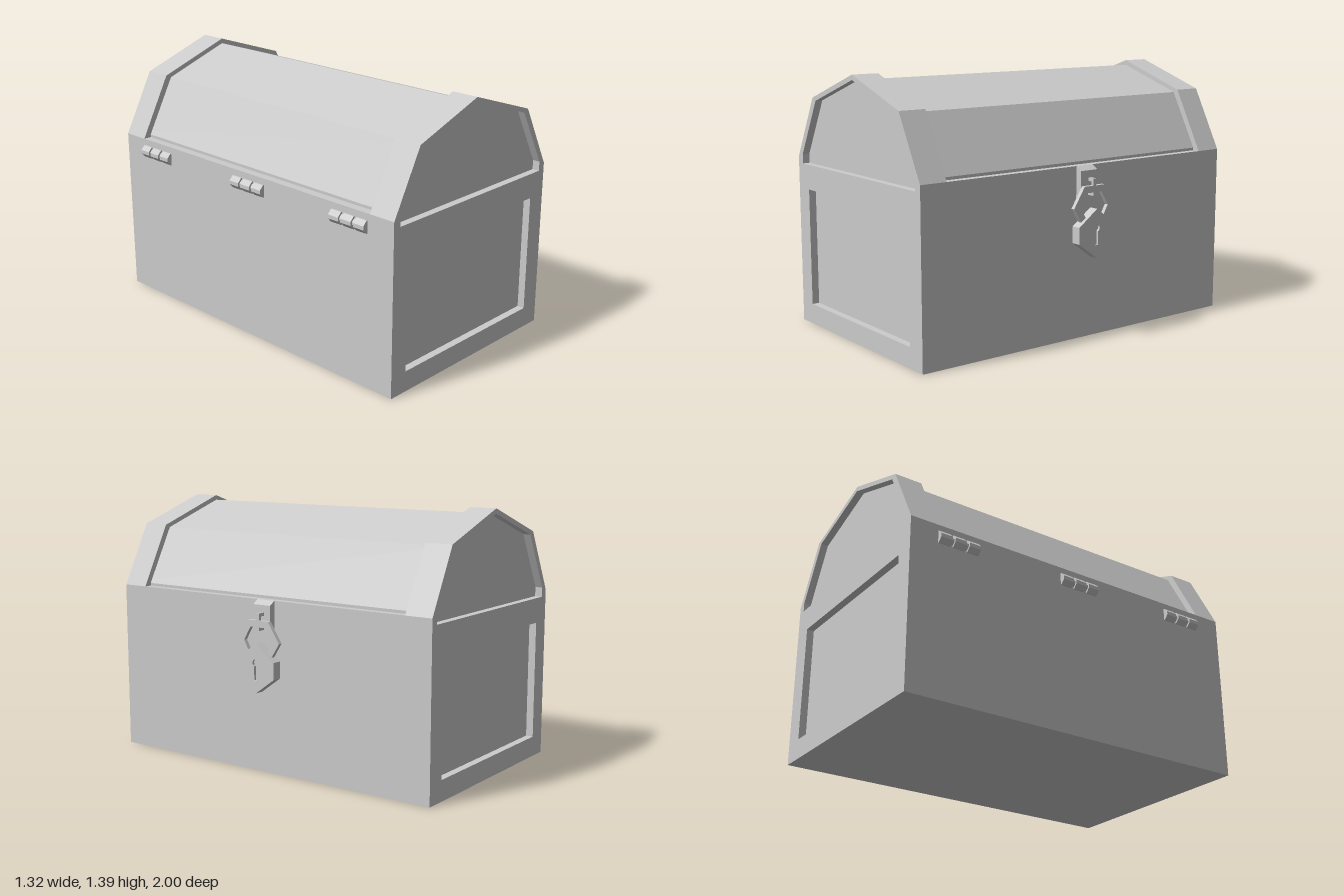
import * as THREE from 'three';

const material = new THREE.MeshStandardMaterial({ color: 0xcccccc, flatShading: true });
const L = -0.635, R = 0.56, MID = (L + R) / 2; // chest walls in x
const SEAM = 0.85, INSET = 0.04;

const path = (points) => points.map(([x, y]) => new THREE.Vector2(x, y));
const rect = (x0, x1, y0, y1) => [[x0, y0], [x1, y0], [x1, y1], [x0, y1]];

function add(parent, name, geometry, x = 0, y = 0, z = 0) {
  const mesh = new THREE.Mesh(geometry, material);
  mesh.name = name;
  mesh.position.set(x, y, z);
  parent.add(mesh);
  return mesh;
}

// Prism along +z from an outline with an optional hole
function prism(outline, depth, hole) {
  const shape = new THREE.Shape(path(outline));
  if (hole) shape.holes.push(new THREE.Path(path(hole)));
  return new THREE.ExtrudeGeometry(shape, { depth, bevelEnabled: false, curveSegments: 8 });
}

// Prism along +x from an outline given as (z, y)
function sidePrism(outline, depth, hole) {
  const flip = (points) => points && points.map(([z, y]) => [-z, y]);
  return prism(flip(outline), depth, flip(hole)).rotateY(Math.PI / 2);
}

function box(parent, name, x0, x1, y0, y1, z0, z1) {
  return add(parent, name, new THREE.BoxGeometry(x1 - x0, y1 - y0, z1 - z0),
    (x0 + x1) / 2, (y0 + y1) / 2, (z0 + z1) / 2);
}

// Lower box: a core with raised frames around recessed panels
function buildBody() {
  const body = new THREE.Group();
  body.name = 'body';
  box(body, 'panelCore', L + INSET, R - INSET, 0, SEAM, -1 + INSET, 1 - INSET);
  for (const x of [L, R - INSET]) {
    add(body, 'sideFrame', sidePrism(rect(-1, 1, 0, SEAM), INSET, rect(-0.85, 0.85, 0.11, 0.745)), x);
  }
  for (const z of [-1, 1 - INSET]) {
    add(body, 'endFrame', prism(rect(L + INSET, R - INSET, 0, SEAM), INSET, rect(-0.53, 0.453, 0.11, 0.745)), 0, 0, z);
  }
  return body;
}

// Faceted lid with a thicker rim at each end
function buildLid() {
  const lid = new THREE.Group();
  lid.name = 'lid';
  const outer = [[L, SEAM], [R, SEAM], [R, 0.915], [0.385, 1.245], [-0.043, 1.39], [-0.46, 1.245], [L, 0.915]];
  const inner = [[-0.59, 0.88], [0.518, 0.88], [0.518, 0.93], [0.355, 1.23], [-0.043, 1.363], [-0.428, 1.23], [-0.59, 0.93]];
  add(lid, 'lidShell', prism(inner, 1.92), 0, 0, -0.96);
  for (const z of [-1, 0.85]) add(lid, 'lidEndRim', prism(outer, 0.15, inner), 0, 0, z);
  box(lid, 'lidBand', L, R, SEAM, 0.915, -0.85, 0.85);
  return lid;
}

// Hinge: three faceted knuckles on a thinner pin
function buildHinge(z) {
  const hinge = new THREE.Group();
  hinge.name = 'hinge';
  const barrel = (s) => [[0.01, -0.033 * s], [-0.006 * s, -0.033 * s], [-0.028 * s, -0.01 * s],
    [-0.028 * s, 0.01 * s], [-0.006 * s, 0.033 * s], [0.01, 0.033 * s]].reverse();
  add(hinge, 'hingePin', prism(barrel(0.65), 0.23), 0, 0, -0.115);
  for (const k of [-1, 0, 1]) add(hinge, 'hingeKnuckle', prism(barrel(1), 0.066), 0, 0, k * 0.082 - 0.033);
  hinge.position.set(L, 0.847, z);
  return hinge;
}

// Hasp, staple and hanging padlock
function buildLock() {
  const lock = new THREE.Group();
  lock.name = 'lock';
  add(lock, 'hasp', prism([[R - 0.02, 0.745], [0.595, 0.745], [0.595, 0.893], [R, 0.915], [R - 0.02, 0.915]], 0.11), 0, 0, -0.05);
  add(lock, 'staple', prism([[0.59, 0.765], [0.635, 0.765], [0.635, 0.855], [0.59, 0.855]], 0.018,
    [[0.592, 0.78], [0.618, 0.78], [0.618, 0.838], [0.592, 0.838]]), 0, 0, -0.009);

  const hexagon = (top, wide, low, a, b) =>
    [[-a, top], [a, top], [wide, 0.71], [b, low], [-b, low], [-wide, 0.71]];
  add(lock, 'shackle', sidePrism(hexagon(0.818, 0.137, 0.59, 0.068, 0.06), 0.022,
    hexagon(0.783, 0.09, 0.62, 0.047, 0.04)), 0.613);

  const outline = [[0, 0.7], [0.118, 0.615], [0.118, 0.527], [0, 0.442], [-0.118, 0.527], [-0.118, 0.615]];
  // Keyhole: a round top with a slot below it
  const keyhole = [[-0.009, 0.51], [0.009, 0.51]];
  for (let i = 0; i <= 10; i++) {
    const t = -1.1 + (i / 10) * (Math.PI + 2.2);
    keyhole.push([0.02 * Math.cos(t), 0.6 + 0.02 * Math.sin(t)]);
  }
  add(lock, 'padlockBody', sidePrism(outline, 0.04), 0.602);
  add(lock, 'padlockFace', sidePrism(outline, 0.013, keyhole), 0.642);
  lock.position.z = -0.013;
  return lock;
}

export function createModel() {
  const chest = new THREE.Group();
  chest.name = 'chest';
  chest.add(buildBody(), buildLid(), buildLock());
  for (const z of [-0.73, 0.012, 0.72]) chest.add(buildHinge(z));
  return chest;
}
